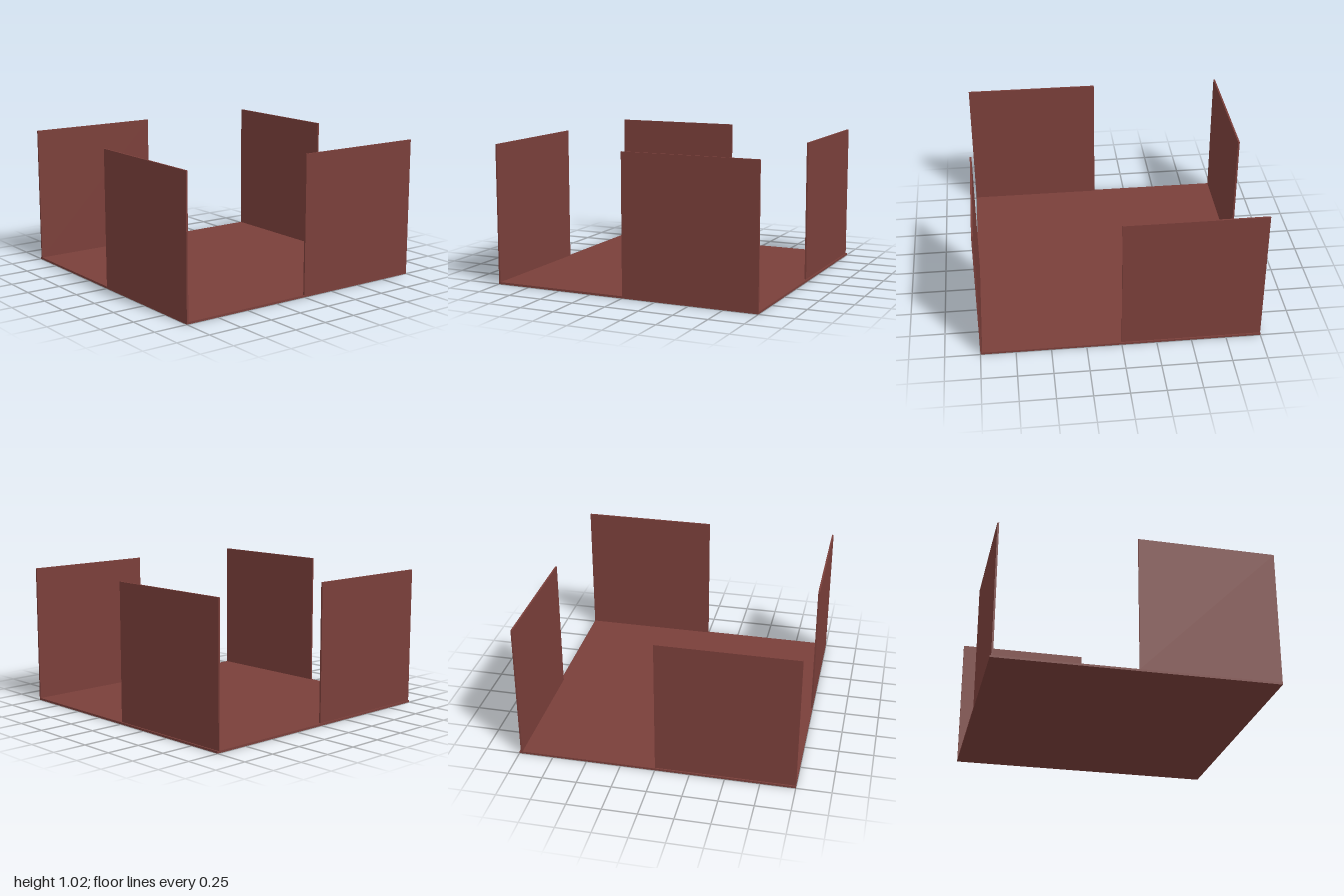
import * as THREE from 'three';

const BASE = 0.015; // floor thickness
const WALL = 0.0125; // panel thickness
const TOP = 1.016;
const INSET = 0.01; // the back and right panels sit slightly in from the edge

export function createModel() {
  const group = new THREE.Group();
  const material = new THREE.MeshStandardMaterial({ color: 0x7a3f3a });

  // box given by its minimum and maximum corners
  const addBox = (name, min, max) => {
    const size = max.map((v, i) => v - min[i]);
    const mesh = new THREE.Mesh(new THREE.BoxGeometry(...size), material);
    mesh.position.set(...max.map((v, i) => (v + min[i]) / 2));
    mesh.name = name;
    group.add(mesh);
  };

  // square floor
  addBox('floor', [-1, 0, -1], [1, BASE, 1]);

  // four half-width panels arranged as a pinwheel
  addBox('frontPanel', [0, BASE, 1 - WALL], [1, TOP, 1]);
  addBox('leftPanel', [-1, BASE, 0], [-1 + WALL, TOP, 1]);
  addBox('backPanel', [-1, BASE, -1 + INSET], [0, TOP, -1 + INSET + WALL]);
  addBox('rightPanel', [1 - INSET - WALL, BASE, -1], [1 - INSET, TOP, 0]);

  return group;
}
